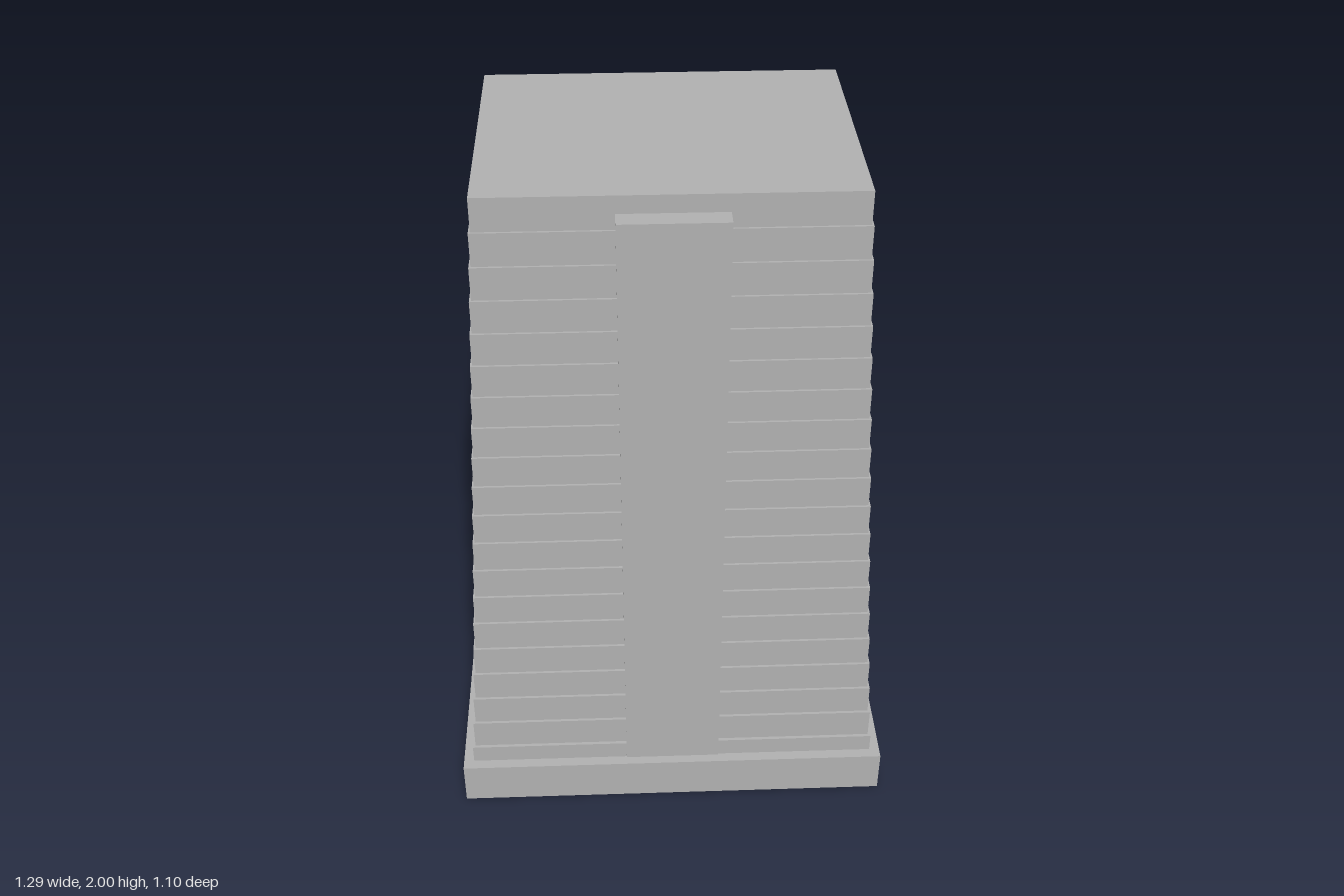
import * as THREE from 'three';

export function createModel() {
  const group = new THREE.Group();
  const grey = new THREE.MeshStandardMaterial({ color: 0xb2b2b2 });
  grey.name = 'concreteGrey';

  // Box given by half width, half depth, bottom and top
  function block(name, hx, hz, y0, y1, z = 0) {
    const mesh = new THREE.Mesh(new THREE.BoxGeometry(hx * 2, y1 - y0, hz * 2), grey);
    mesh.name = name;
    mesh.position.set(0, (y0 + y1) / 2, z);
    group.add(mesh);
  }

  // Plinth
  block('base', 0.645, 0.549, 0, 0.137);

  // Twenty storeys, each set back a little from the one below
  const storeys = 20, bottom = 0.1, pitch = (2 - bottom) / storeys;
  for (let i = 0; i < storeys; i++) {
    const f = Math.pow(i / (storeys - 1), 0.9);
    const y = bottom + i * pitch;
    block('storey' + (i + 1),
      THREE.MathUtils.lerp(0.614, 0.505, f),
      THREE.MathUtils.lerp(0.518, 0.383, f), y, y + pitch);
  }

  // Upright slab on the front
  block('frontSlab', 0.142, 0.0275, 0.1, 1.993, 0.4945);

  return group;
}
